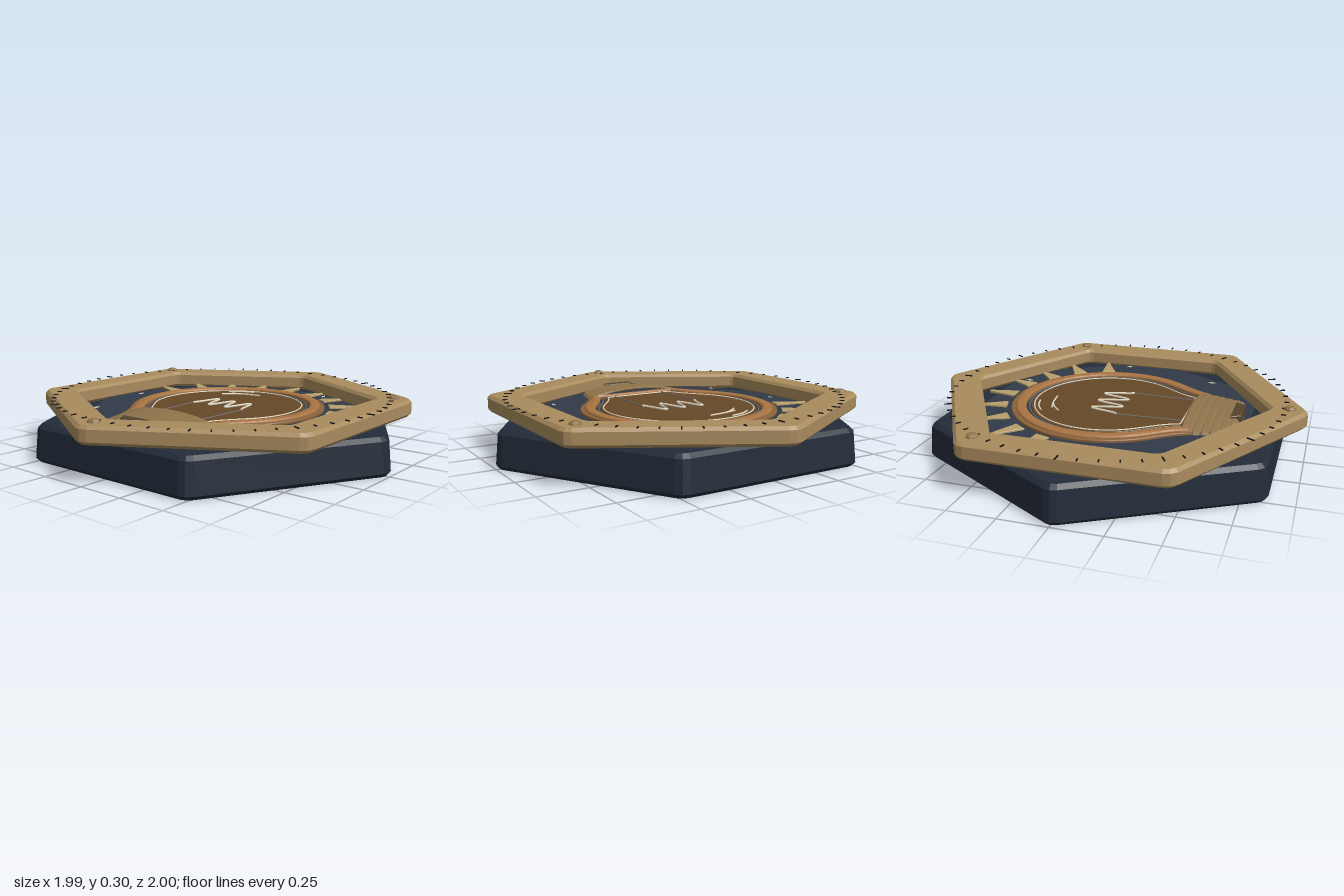
import * as THREE from 'three';
import { toCreasedNormals } from 'three/addons/utils/BufferGeometryUtils.js';

const mat = (color, flat = false) => new THREE.MeshStandardMaterial({ color, flatShading: flat, side: THREE.DoubleSide });
const NAVY = mat(0x222c39), PANEL = mat(0x303a47), GOLD = mat(0xa98b5e), BRASS = mat(0x8f744b, true);
const COPPER = mat(0xa87443), BRONZE = mat(0x8a623a), GLASS = mat(0x664828), CREAM = mat(0xe6dcc6);
const WIRE = mat(0x77706a), INK = mat(0x16181b), STEEL = mat(0x596068), RAY = mat(0xb89f6c), DARK = mat(0x54432c);

const V2 = (x, z) => new THREE.Vector2(x, -z); // plan coordinates to shape space

// Hexagon with clipped corners
function hexPoints(R, turn, clip) {
  const pts = [];
  const corner = i => V2(R * Math.cos(turn + i * Math.PI / 3), -R * Math.sin(turn + i * Math.PI / 3));
  for (let i = 0; i < 6; i++) {
    const c = corner(i);
    pts.push(c.clone().lerp(corner(i - 1), clip), c.clone().lerp(corner(i), 0).multiplyScalar(1 - clip * 0.27), c.clone().lerp(corner(i + 1), clip));
  }
  return pts;
}

// Light bulb outline: round top, S-curved shoulders, flat neck
function bulbShape(r, neck, zEnd) {
  const a = 0.61, cy = 0.05, s = new THREE.Shape();
  const sx = r * Math.cos(a), sy = cy - r * Math.sin(a), tx = 0.1 * Math.sin(a), ty = 0.1 * Math.cos(a);
  s.absarc(0, cy, r, -a, Math.PI + a, false);
  s.bezierCurveTo(-sx + tx, sy - ty, -neck - 0.03, -zEnd + 0.09, -neck, -zEnd);
  s.lineTo(neck, -zEnd);
  s.bezierCurveTo(neck + 0.03, -zEnd + 0.09, sx - tx, sy - ty, sx, sy);
  return s;
}

// Horizontal slab between two heights with bevelled edges inside its outline
function slab(shape, y0, y1, bevel, segments = 1) {
  const g = new THREE.ExtrudeGeometry(shape, {
    depth: y1 - y0 - 2 * bevel, bevelEnabled: bevel > 0, bevelThickness: bevel,
    bevelSize: bevel, bevelOffset: -bevel, bevelSegments: segments, curveSegments: 40,
  });
  return g.rotateX(-Math.PI / 2).translate(0, y0 + bevel, 0);
}

function wire(points, y, radius, closed = false, segs = 60) {
  const curve = new THREE.CatmullRomCurve3(points.map(([x, z]) => new THREE.Vector3(x, y, z)), closed);
  return new THREE.TubeGeometry(curve, segs, radius, 5, closed);
}

export function createModel() {
  const root = new THREE.Group();
  const add = (name, geo, material, parent = root) => {
    const m = new THREE.Mesh(geo, material);
    m.name = name;
    parent.add(m);
    return m;
  };
  const group = name => {
    const g = new THREE.Group();
    g.name = name;
    root.add(g);
    return g;
  };

  // Tapered hexagonal base and its thin top panel
  const base = slab(new THREE.Shape(hexPoints(1.01, 0, 0.04)), 0, 0.19, 0.02);
  const p = base.attributes.position;
  for (let i = 0; i < p.count; i++) {
    const k = 1 - 0.02 * p.getY(i) / 0.19;
    p.setXYZ(i, p.getX(i) * k, p.getY(i), p.getZ(i) * k);
  }
  base.computeVertexNormals();
  add('base', base, NAVY);
  add('topPanel', slab(new THREE.Shape(hexPoints(0.82, 0, 0.01)), 0.18, 0.2, 0.004), PANEL);

  // Hexagonal frame turned by 30 degrees
  const ring = new THREE.Shape(hexPoints(1.01, Math.PI / 6, 0.04));
  ring.holes.push(new THREE.Path(hexPoints(0.815, Math.PI / 6, 0.03)));
  add('frame', slab(ring, 0.19, 0.28, 0.016), GOLD);

  // Rivets on three frame corners
  const rivets = group('rivets');
  for (let i = 0; i < 3; i++) {
    const a = Math.PI / 2 + i * Math.PI * 2 / 3;
    const g = new THREE.SphereGeometry(0.032, 8, 4, 0, Math.PI * 2, 0, Math.PI / 2).scale(1, 0.6, 1);
    add('rivet', g, BRASS, rivets).position.set(0.91 * Math.cos(a), 0.28, 0.91 * Math.sin(a));
  }

  // Circle of scale marks
  const ticks = group('scaleMarks');
  for (let i = 0; i < 60; i++) {
    const a = i * Math.PI / 30, major = i % 5 === 0;
    const t = add('scaleMark', new THREE.BoxGeometry(major ? 0.042 : 0.025, 0.005, 0.006), INK, ticks);
    t.position.set(0.89 * Math.cos(a), 0.283, 0.89 * Math.sin(a));
    t.rotation.y = -a;
  }

  // Copper bulb rim in two steps, thin steel liner and glass
  const bulb = group('bulb');
  const rim = (name, outer, inner, y1, bevel, material) => {
    const s = bulbShape(...outer);
    s.holes.push(new THREE.Path(bulbShape(...inner).getPoints(40)));
    add(name, toCreasedNormals(slab(s, 0.195, y1, bevel, 3), 0.6), material, bulb);
  };
  rim('outerRim', [0.525, 0.295, 0.46], [0.47, 0.26, 0.43], 0.215, 0.006, BRONZE);
  rim('innerRim', [0.5, 0.275, 0.45], [0.445, 0.24, 0.42], 0.226, 0.01, COPPER);
  rim('liner', [0.432, 0.228, 0.415], [0.424, 0.222, 0.41], 0.214, 0, STEEL);
  add('glass', slab(bulbShape(0.418, 0.215, 0.405), 0.195, 0.215, 0.003), GLASS, bulb);
  const edge = bulbShape(0.402, 0.2, 0.39).getSpacedPoints(110).slice(0, -1).map(v => [v.x, -v.y]);
  add('glassOutline', wire(edge, 0.216, 0.004, true, 220), CREAM, bulb);

  // Filament, support wires and glass reflections
  const wave = [];
  for (let i = 0; i <= 48; i++) {
    const t = i / 48;
    wave.push([-0.168 + 0.336 * t, -0.032 + 0.078 * Math.cos(t * Math.PI * 6)]);
  }
  add('filament', wire(wave, 0.22, 0.006, false, 120), CREAM, bulb);
  for (const s of [-1, 1]) {
    add('supportWire', wire([[s * 0.168, 0.045], [s * 0.155, 0.385]], 0.218, 0.004, false, 2), WIRE, bulb);
  }
  const strokes = [[[-0.23, -0.35], [-0.17, -0.39], [-0.09, -0.415]], [[-0.21, -0.26], [-0.15, -0.31], [-0.1, -0.335]],
    [[-0.18, -0.31], [-0.1, -0.335], [0, -0.35]]];
  for (const s of strokes) add('reflection', wire(s, 0.217, 0.005, false, 10), CREAM, bulb);

  // Threaded cap: a flattened half lathe lying along z
  const cap = group('cap');
  const profile = [new THREE.Vector2(0.27, 0.405), new THREE.Vector2(0.3, 0.415)];
  for (let i = 0; i < 5; i++) {
    const z = 0.43 + i * 0.042, r = 0.297 - i * 0.012;
    profile.push(new THREE.Vector2(r, z), new THREE.Vector2(r - 0.002, z + 0.028), new THREE.Vector2(r - 0.018, z + 0.035));
  }
  profile.push(new THREE.Vector2(0.235, 0.645), new THREE.Vector2(0.2, 0.66), new THREE.Vector2(0.1, 0.674), new THREE.Vector2(0, 0.68));
  const shell = new THREE.LatheGeometry(profile, 10, Math.PI / 2, Math.PI);
  add('threadedCap', shell.rotateX(Math.PI / 2).scale(1, 0.2, 1).translate(0, 0.198, 0), BRASS, cap);
  const tip = new THREE.Shape([V2(-0.11, 0.625), V2(-0.08, 0.678), V2(0.08, 0.678), V2(0.11, 0.625)]);
  add('contact', slab(tip, 0.195, 0.25, 0.004), DARK, cap);

  // Fan of light rays
  const rays = group('rays');
  const reach = [0.735, 0.735, 0.685, 0.685, 0.71];
  for (let i = -4; i <= 4; i++) {
    const len = reach[4 - Math.abs(i)];
    const s = new THREE.Shape([V2(-0.04, -0.55), V2(0.04, -0.55), V2(0.007, -len), V2(-0.007, -len)]);
    const r = add('ray', slab(s, 0.195, 0.21, 0.002), RAY, rays);
    r.position.z = -0.05;
    r.rotation.y = -i * Math.PI / 10;
  }

  // Tiny four-pointed sparks
  const sparks = group('sparks');
  for (const [x, z] of [[-0.65, -0.03], [0.68, -0.13], [0.255, -0.63], [-0.54, 0.42], [0.52, 0.42]]) {
    const pts = [];
    for (let k = 0; k < 8; k++) {
      const a = k * Math.PI / 4, r = k % 2 ? 0.005 : k % 4 ? 0.02 : 0.01;
      pts.push(new THREE.Vector2(r * Math.cos(a), r * Math.sin(a)));
    }
    add('spark', slab(new THREE.Shape(pts), 0.198, 0.205, 0), CREAM, sparks).position.set(x, 0, z);
  }
  return root;
}
